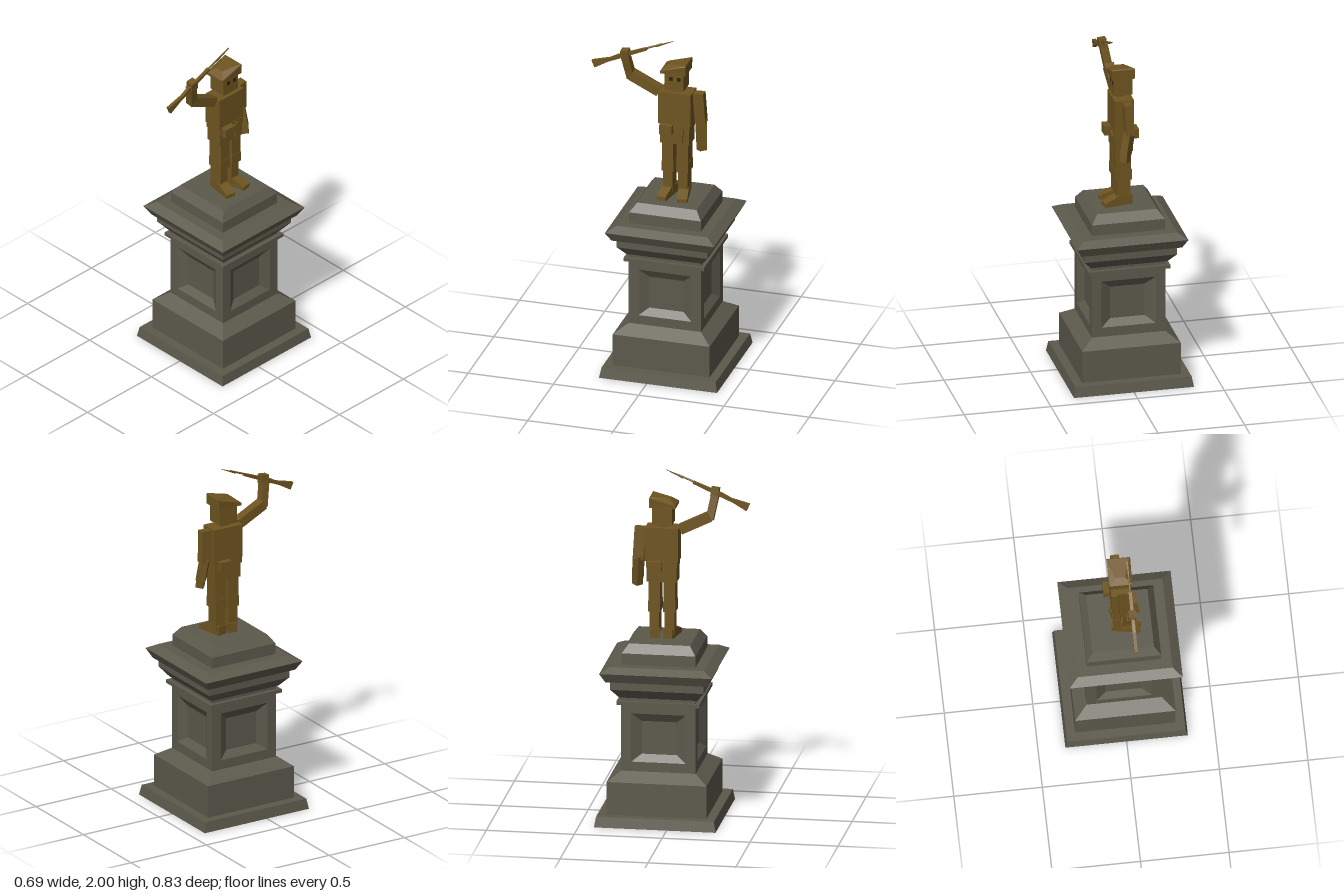
import * as THREE from 'three';

const stone = new THREE.MeshStandardMaterial({ color: 0x5c594c, flatShading: true });
const bronze = new THREE.MeshStandardMaterial({ color: 0x6e5420, flatShading: true });
const dark = new THREE.MeshStandardMaterial({ color: 0x2e230e, flatShading: true });
const UP = new THREE.Vector3(0, 1, 0);

function add(parent, name, geometry, material = bronze) {
  const mesh = new THREE.Mesh(geometry, material);
  mesh.name = name;
  parent.add(mesh);
  return mesh;
}

// Box given by its extents on each axis
function box(parent, name, [x0, x1], [y0, y1], [z0, z1], material) {
  const mesh = add(parent, name, new THREE.BoxGeometry(x1 - x0, y1 - y0, z1 - z0), material);
  mesh.position.set((x0 + x1) / 2, (y0 + y1) / 2, (z0 + z1) / 2);
  return mesh;
}

// Box running from point a to point b
function limb(parent, name, a, b, w, d) {
  const from = new THREE.Vector3(...a), to = new THREE.Vector3(...b);
  const dir = to.clone().sub(from);
  const mesh = add(parent, name, new THREE.BoxGeometry(w, dir.length(), d));
  mesh.position.copy(from).lerp(to, 0.5);
  mesh.quaternion.setFromUnitVectors(UP, dir.normalize());
  return mesh;
}

// Side profile extruded symmetrically about its own plane
function plate(points, depth) {
  const shape = new THREE.Shape(points.map(p => new THREE.Vector2(...p)));
  const geo = new THREE.ExtrudeGeometry(shape, { depth, bevelEnabled: false });
  return geo.translate(0, 0, -depth / 2);
}

// Skin over loops of four corners, with a cap on the last (and first if asked)
function loft(loops, capStart = false) {
  const index = [];
  for (let k = 0; k < loops.length - 1; k++)
    for (let i = 0; i < 4; i++) {
      const a = k * 4 + i, b = k * 4 + (i + 1) % 4;
      index.push(a, b, b + 4, a, b + 4, a + 4);
    }
  const e = (loops.length - 1) * 4;
  index.push(e, e + 1, e + 2, e, e + 2, e + 3);
  if (capStart) index.push(0, 2, 1, 0, 3, 2);
  const geo = new THREE.BufferGeometry();
  geo.setAttribute('position', new THREE.Float32BufferAttribute(loops.flat(2), 3));
  geo.setIndex(index);
  const flat = geo.toNonIndexed();
  flat.computeVertexNormals();
  return flat;
}

// Square moulding turned from [half width, height] pairs
function moulding(points) {
  const pts = points.map(([r, y]) => new THREE.Vector2(r * Math.SQRT2, y));
  const geo = new THREE.LatheGeometry(pts, 4).rotateY(Math.PI / 4).toNonIndexed();
  geo.computeVertexNormals();
  return geo;
}

function buildPedestal() {
  const g = new THREE.Group();
  g.name = 'pedestal';
  add(g, 'plinth', moulding([[0, 0], [0.346, 0], [0.335, 0.06], [0.284, 0.06], [0.284, 0.25], [0.212, 0.3]]), stone);
  add(g, 'cornice', moulding([
    [0.212, 0.69], [0.236, 0.69], [0.236, 0.71], [0.212, 0.71], [0.212, 0.73], [0.222, 0.73],
    [0.266, 0.785], [0.266, 0.835], [0.29, 0.835], [0.32, 0.89], [0.268, 0.92], [0.21, 0.92],
    [0.21, 0.985], [0.174, 1.035], [0, 1.035]]), stone);
  // Four shaft faces, each with a sunken bevelled panel
  const rect = (w, y0, y1, z) => [[-w, y0, z], [w, y0, z], [w, y1, z], [-w, y1, z]];
  const panel = loft([rect(0.212, 0.3, 0.69, 0.212), rect(0.155, 0.355, 0.637, 0.212), rect(0.1, 0.395, 0.587, 0.18)]);
  for (let i = 0; i < 4; i++) add(g, 'shaftPanel', panel, stone).rotation.y = i * Math.PI / 2;
  g.position.z = -0.067;
  return g;
}

// The figure faces +x, its right arm is on the +z side
function buildSoldier() {
  const g = new THREE.Group();
  g.name = 'soldier';
  const mid = -0.075;

  for (const s of [1, -1]) {
    const leg = new THREE.Group();
    leg.name = s > 0 ? 'rightLeg' : 'leftLeg';
    leg.position.z = mid + s * 0.043;
    g.add(leg);
    box(leg, 'thigh', [-0.045, 0.045], [1.24, 1.37], [-0.033, 0.033]);
    box(leg, 'kneeBand', [-0.049, 0.048], [1.19, 1.25], [-0.035, 0.035]);
    box(leg, 'shin', [-0.042, 0.036], [1.06, 1.2], [-0.028, 0.028]);
    const boot = add(leg, 'boot', plate([[-0.05, 1.035], [0.112, 1.035], [0.112, 1.058], [0.036, 1.09], [-0.05, 1.09]], 0.058));
    boot.rotation.y = -s * 0.17;
  }

  // Body and belt kit
  box(g, 'hips', [-0.052, 0.048], [1.365, 1.46], [-0.16, 0.01]);
  box(g, 'belt', [-0.06, 0.056], [1.45, 1.49], [-0.163, 0.013]);
  box(g, 'torso', [-0.058, 0.053], [1.485, 1.68], [-0.17, 0.02]);
  box(g, 'frontPouch', [0.045, 0.09], [1.435, 1.49], [-0.068, 0.004]);
  box(g, 'backPouch', [-0.092, -0.05], [1.435, 1.49], [-0.145, -0.073]);
  const sheath = add(g, 'sheath', plate([[-0.01, 1.38], [0.01, 1.38], [0.018, 1.46], [0.01, 1.48], [-0.01, 1.48], [-0.018, 1.46]], 0.02));
  sheath.rotation.y = Math.PI / 2;
  sheath.position.set(0.054, 0, -0.112);

  // Head
  box(g, 'neck', [-0.025, 0.025], [1.67, 1.71], [-0.1, -0.045]);
  box(g, 'head', [-0.057, 0.05], [1.698, 1.81], [-0.128, -0.016]);
  for (const z of [-0.052, -0.1]) box(g, 'eye', [0.045, 0.052], [1.757, 1.78], [z - 0.01, z + 0.01], dark);
  // Cap, rising from front edge to a tall far side
  add(g, 'cap', loft([
    [[-0.067, 1.8, 0.006], [0.062, 1.8, 0.006], [0.062, 1.8, -0.143], [-0.067, 1.8, -0.143]],
    [[-0.067, 1.815, 0.006], [0.062, 1.815, 0.006], [0.065, 1.858, -0.143], [-0.07, 1.858, -0.143]],
    [[-0.027, 1.846, -0.03], [0.024, 1.846, -0.03], [0.06, 1.863, -0.14], [-0.065, 1.863, -0.14]]], true));

  // Lowered left arm
  limb(g, 'leftUpperArm', [-0.012, 1.675, -0.2], [-0.022, 1.49, -0.21], 0.062, 0.048);
  limb(g, 'leftForearm', [-0.022, 1.51, -0.209], [0.002, 1.375, -0.219], 0.054, 0.043);
  limb(g, 'leftHand', [0.001, 1.385, -0.219], [0.008, 1.332, -0.222], 0.045, 0.044);

  // Raised right arm
  limb(g, 'rightUpperArm', [0.004, 1.665, 0.025], [0.006, 1.747, 0.192], 0.056, 0.055);
  limb(g, 'rightForearm', [0.006, 1.728, 0.19], [0.03, 1.865, 0.217], 0.046, 0.044);
  limb(g, 'rightHand', [0.034, 1.855, 0.213], [0.039, 1.908, 0.219], 0.044, 0.046);

  // Rifle: stock outline, thin barrel and tapered bayonet
  const rifle = new THREE.Group();
  rifle.name = 'rifle';
  add(rifle, 'stock', plate([[0, -0.026], [0.09, -0.013], [0.15, -0.012], [0.34, -0.006], [0.34, 0.009],
    [0.16, 0.012], [0.11, 0.006], [0, 0.02]], 0.019));
  const barrel = add(rifle, 'barrel', new THREE.CylinderGeometry(0.005, 0.007, 0.28, 6));
  barrel.rotation.z = -Math.PI / 2;
  barrel.position.set(0.3, 0.005, 0);
  add(rifle, 'bayonet', plate([[0.4, -0.004], [0.511, 0.004], [0.4, 0.007]], 0.008));
  rifle.rotation.set(0.39, Math.PI / 2, 0);
  rifle.position.set(0.04, 1.801, 0.405);
  g.add(rifle);
  return g;
}

export function createModel() {
  const model = new THREE.Group();
  model.name = 'soldierMonument';
  model.add(buildPedestal(), buildSoldier());
  return model;
}
